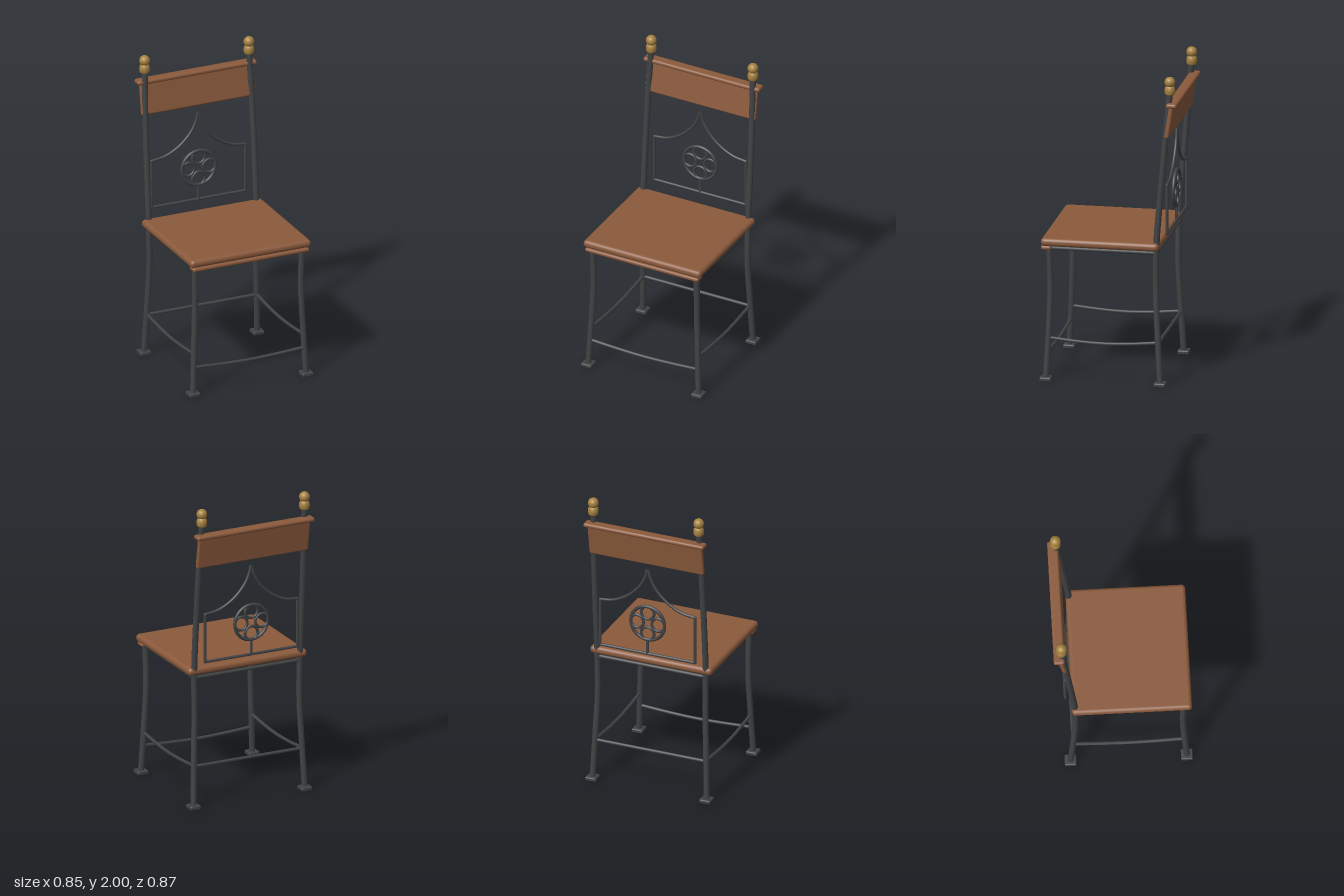
import * as THREE from 'three';
import { RoundedBoxGeometry } from 'three/addons/geometries/RoundedBoxGeometry.js';

export function createModel() {
  const chair = new THREE.Group();
  chair.name = 'chair';

  const material = (name, color) => {
    const m = new THREE.MeshStandardMaterial({ color });
    m.name = name;
    return m;
  };
  const iron = material('wrought iron', 0x404244);
  const wood = material('brown wood', 0x8b5a3c);
  const brass = material('brass', 0xa5813f);

  const add = (name, geometry, mat, x = 0, y = 0, z = 0, parent = chair) => {
    const mesh = new THREE.Mesh(geometry, mat);
    mesh.name = name;
    mesh.position.set(x, y, z);
    parent.add(mesh);
    return mesh;
  };
  // Iron rod bent through a few points
  const rod = (name, points, radius, parent = chair, segments = 24) => {
    const curve = new THREE.CatmullRomCurve3(points.map((p) => new THREE.Vector3(...p)));
    return add(name, new THREE.TubeGeometry(curve, segments, radius, 8), iron, 0, 0, 0, parent);
  };

  // Seat board and the lip under its front edge
  add('seat', new RoundedBoxGeometry(0.83, 0.052, 0.75, 4, 0.024), wood, 0, 0.898, 0.053);
  add('seatFrontLip', new RoundedBoxGeometry(0.8, 0.028, 0.066, 3, 0.013), wood, 0, 0.859, 0.396);

  // Legs, posts, feet, finials and side rails
  const finialProfile = [
    [0, 1.885], [0.026, 1.885], [0.032, 1.893], [0.034, 1.912], [0.032, 1.928], [0.026, 1.938], [0.022, 1.942],
  ].map(([r, y]) => new THREE.Vector2(r, y - 1.885));
  for (const s of [-1, 1]) {
    const side = s > 0 ? 'left' : 'right';
    rod(side + 'FrontLeg', [
      [s * 0.389, 0.012, 0.397], [s * 0.376, 0.3, 0.382], [s * 0.365, 0.6, 0.373], [s * 0.368, 0.88, 0.381],
    ], 0.02);
    rod(side + 'BackLegAndPost', [
      [s * 0.389, 0.012, -0.33], [s * 0.378, 0.3, -0.313], [s * 0.367, 0.6, -0.299],
      [s * 0.37, 0.9, -0.302], [s * 0.37, 1.2, -0.325], [s * 0.367, 1.55, -0.355], [s * 0.359, 1.9, -0.385],
    ], 0.02, chair, 40);
    for (const [end, z] of [['Front', 0.396], ['Back', -0.331]]) {
      add(side + end + 'Foot', new RoundedBoxGeometry(0.074, 0.026, 0.074, 2, 0.008), iron, s * 0.389, 0.013, z);
    }
    add(side + 'FinialCup', new THREE.LatheGeometry(finialProfile, 20), brass, s * 0.359, 1.885, -0.386);
    add(side + 'FinialBall', new THREE.SphereGeometry(0.034, 20, 14), brass, s * 0.359, 1.966, -0.386);
    rod(side + 'SeatRail', [[s * 0.37, 0.855, -0.3], [s * 0.37, 0.855, 0.378]], 0.012);
    rod(side + 'Stretcher', [
      [s * 0.377, 0.275, 0.382], [s * 0.377, 0.258, 0.19], [s * 0.377, 0.252, 0.035],
      [s * 0.377, 0.258, -0.12], [s * 0.377, 0.275, -0.313],
    ], 0.011);
  }

  // Cross rails and stretchers
  rod('backSeatRail', [[-0.37, 0.855, -0.3], [0.37, 0.855, -0.3]], 0.012);
  rod('frontSeatRail', [[-0.37, 0.855, 0.366], [0.37, 0.855, 0.366]], 0.012);
  rod('backStretcher', [[-0.378, 0.272, -0.313], [0.378, 0.272, -0.313]], 0.011);
  rod('frontStretcher', [
    [-0.38, 0.187, 0.388], [-0.19, 0.176, 0.388], [0, 0.171, 0.388], [0.19, 0.176, 0.388], [0.38, 0.187, 0.388],
  ], 0.011);

  // Wooden backrest: leaning board with a rounded cap
  const board = add('backrestBoard', new RoundedBoxGeometry(0.78, 0.222, 0.03, 3, 0.012), wood, 0, 1.715, -0.384);
  board.rotation.x = -0.16;
  add('backrestCap', new RoundedBoxGeometry(0.82, 0.03, 0.068, 3, 0.014), wood, 0, 1.82, -0.402);

  // Ornamental iron panel in the back
  const panel = new THREE.Group();
  panel.name = 'ornamentalPanel';
  panel.position.z = -0.36;
  chair.add(panel);
  const thin = 0.0095;
  rod('panelBottom', [[-0.323, 0.972, 0], [0.323, 0.972, 0]], thin, panel);
  rod('panelStem', [[0, 0.972, 0], [0, 1.07, 0]], thin, panel);
  for (const s of [-1, 1]) {
    rod('panelSide', [[s * 0.323, 0.972, 0], [s * 0.323, 1.287, 0]], thin, panel);
    rod('panelArch', [
      [s * 0.323, 1.287, 0], [s * 0.23, 1.302, 0], [s * 0.132, 1.354, 0],
      [s * 0.056, 1.431, 0], [s * 0.02, 1.497, 0], [s * 0.002, 1.565, 0],
    ], thin, panel);
    for (const y of [0.972, 1.287]) {
      add('panelCorner', new THREE.SphereGeometry(thin, 10, 8), iron, s * 0.323, y, 0, panel);
    }
  }

  // Rosette: one large ring holding four small ones
  add('rosetteRing', new THREE.TorusGeometry(0.115, 0.011, 8, 40), iron, 0, 1.185, 0, panel);
  for (let i = 0; i < 4; i++) {
    const a = (i * Math.PI) / 2;
    add('rosettePetal', new THREE.TorusGeometry(0.044, 0.009, 8, 28), iron,
      0.072 * Math.cos(a), 1.185 + 0.072 * Math.sin(a), 0, panel);
  }

  return chair;
}
